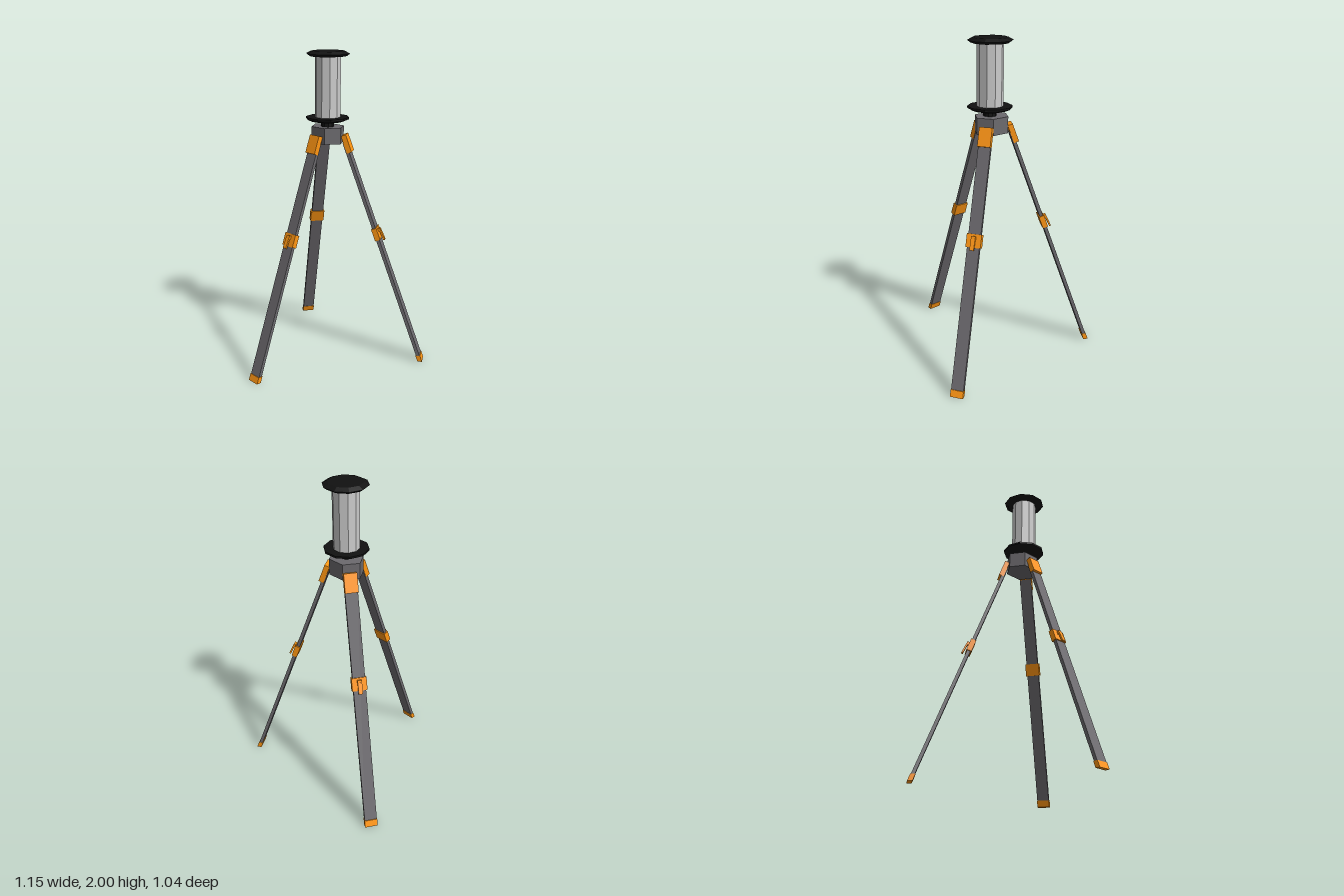
import * as THREE from 'three';

const mat = (color, side = THREE.FrontSide) =>
  new THREE.MeshStandardMaterial({ color, flatShading: true, side });

const orange = mat(0xff9612);
const legGrey = mat(0x6c6a6e);
const black = mat(0x111111);
const silver = mat(0xcccccc);

const SLOPE = 0.3665;            // inward lean of a leg per unit of height
const TILT = Math.atan(SLOPE);
const legRadius = (y) => 0.64 - SLOPE * y;

function add(parent, name, geometry, material) {
  const mesh = new THREE.Mesh(geometry, material);
  mesh.name = name;
  parent.add(mesh);
  return mesh;
}

// Bar that follows the lean of the leg with level ends
function leaningBar(width, y0, y1, depth) {
  const g = new THREE.BoxGeometry(width, y1 - y0, depth).translate(0, (y0 + y1) / 2, 0);
  const p = g.attributes.position;
  for (let i = 0; i < p.count; i++) p.setZ(i, p.getZ(i) + legRadius(p.getY(i)));
  g.computeVertexNormals();
  return g;
}

// Box turned square to the leg, at a height and a distance off its centre line
function tiltedBox(leg, name, width, height, depth, y, offset, material) {
  const mesh = add(leg, name, new THREE.BoxGeometry(width, height, depth), material);
  mesh.position.set(0, y + offset * Math.sin(TILT), legRadius(y) + offset * Math.cos(TILT));
  mesh.rotation.x = -TILT;
  return mesh;
}

// One leg, leaning out along its local +z
function createLeg(name, angle) {
  const leg = new THREE.Group();
  leg.name = name;
  leg.rotation.y = angle;
  add(leg, 'legBar', leaningBar(0.077, 0.03, 1.44, 0.023), legGrey);
  add(leg, 'foot', leaningBar(0.08, 0, 0.04, 0.03), orange);
  tiltedBox(leg, 'topBracket', 0.08, 0.115, 0.032, 1.433, 0.01, orange);
  tiltedBox(leg, 'clamp', 0.092, 0.08, 0.034, 0.862, 0, orange);
  tiltedBox(leg, 'latchPivot', 0.026, 0.022, 0.02, 0.878, 0.022, orange);
  const lever = tiltedBox(leg, 'latchLever', 0.026, 0.07, 0.011, 0.842, 0.031, orange);
  lever.rotation.x -= 0.08;
  return leg;
}

// Ten-sided turned part with a corner on each side
function turned(points) {
  const g = new THREE.LatheGeometry(points.map(([r, y]) => new THREE.Vector2(r, y)), 10);
  return g.rotateY(Math.PI / 2);
}

export function createModel() {
  const model = new THREE.Group();
  model.name = 'tripodLamp';

  // Legs
  const legs = new THREE.Group();
  legs.name = 'legs';
  legs.position.z = -0.14;
  const spread = THREE.MathUtils.degToRad(122);
  legs.add(createLeg('frontLeg', 0), createLeg('leftLeg', spread), createLeg('rightLeg', -spread));
  model.add(legs);

  // Six-sided hub
  const hub = add(model, 'hub',
    new THREE.CylinderGeometry(0.113, 0.113, 0.1, 6).rotateY(Math.PI / 2), legGrey);
  hub.scale.z = 0.88;
  hub.position.set(0, 1.49, -0.136);

  // Lamp head
  const head = new THREE.Group();
  head.name = 'lampHead';
  head.position.set(0.006, 0, -0.128);
  add(head, 'neck', turned([[0, 1.53], [0.04, 1.53], [0.04, 1.59], [0, 1.59]]), black);
  add(head, 'lowerDisc',
    turned([[0, 1.572], [0.105, 1.575], [0.135, 1.588], [0.135, 1.6], [0, 1.6]]), black);
  add(head, 'lampTube', turned([[0, 1.595], [0.08, 1.595], [0.08, 1.975], [0, 1.975]]), silver);
  add(head, 'topCap',
    turned([[0, 1.969], [0.115, 1.969], [0.135, 1.984], [0.105, 2], [0, 2]]), black);
  model.add(head);

  return model;
}
